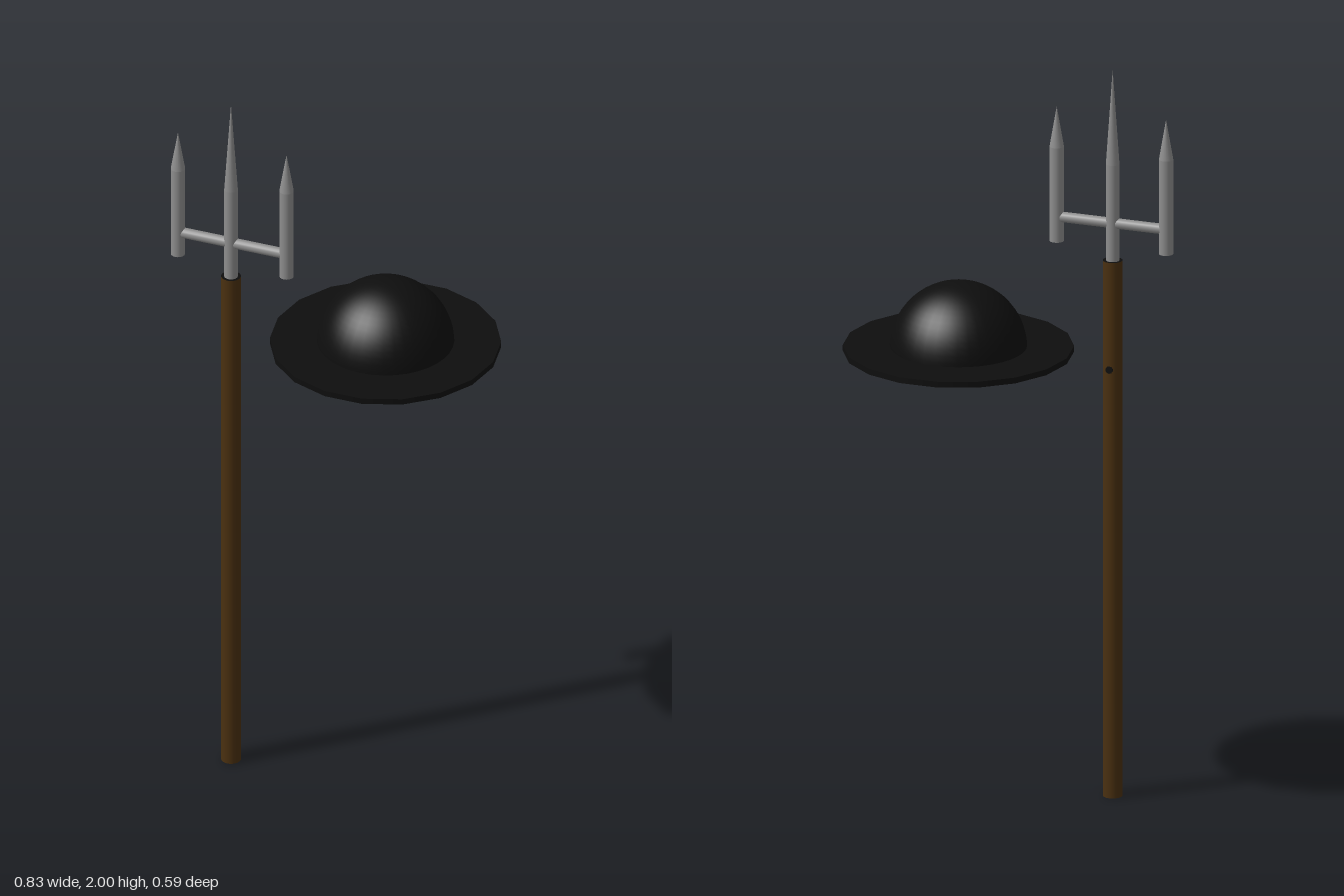
import * as THREE from 'three';

const mat = (name, color) => {
  const m = new THREE.MeshStandardMaterial({ color });
  m.name = name;
  return m;
};

export function createModel() {
  const wood = mat('dark wood', 0x4a3010);
  const steel = mat('steel grey', 0x8e8e8e);
  const black = mat('black', 0x0e0e0e);
  const model = new THREE.Group();

  const add = (parent, name, geometry, material, x, y, z) => {
    const mesh = new THREE.Mesh(geometry, material);
    mesh.name = name;
    mesh.position.set(x, y, z);
    parent.add(mesh);
    return mesh;
  };

  // Trident: wooden pole with black ends
  const trident = new THREE.Group();
  trident.name = 'trident';
  trident.position.set(-0.248, 0, 0.186);
  model.add(trident);
  add(trident, 'pole', new THREE.CylinderGeometry(0.026, 0.026, 1.475, 18), [wood, black, black], 0, 0.7375, 0);

  // Small dark spot on the back of the pole
  const spot = add(trident, 'poleSpot', new THREE.CylinderGeometry(0.01, 0.01, 0.006, 10), black, 0, 1.18, -0.025);
  spot.rotation.x = Math.PI / 2;

  // Prongs: a straight shank with a pointed tip
  const prong = (name, x, r, bottom, shoulder, tip) => {
    const group = new THREE.Group();
    group.name = name;
    trident.add(group);
    add(group, 'shank', new THREE.CylinderGeometry(r, r, shoulder - bottom, 18), steel, x, (bottom + shoulder) / 2, 0);
    add(group, 'tip', new THREE.ConeGeometry(r, tip - shoulder, 18), steel, x, (shoulder + tip) / 2, 0);
  };
  prong('centreProng', 0, 0.018, 1.47, 1.74, 2);
  prong('rightProng', -0.149, 0.019, 1.51, 1.77, 1.88);
  prong('leftProng', 0.156, 0.019, 1.51, 1.77, 1.88);

  const bar = add(trident, 'crossbar', new THREE.CylinderGeometry(0.014, 0.014, 0.3, 18), steel, 0.003, 1.577, 0);
  bar.rotation.z = Math.PI / 2;

  // Hat: flat faceted brim with a half-round crown
  const hat = new THREE.Group();
  hat.name = 'hat';
  hat.position.set(0.112, 1.248, 0);
  model.add(hat);
  const brim = add(hat, 'brim', new THREE.CylinderGeometry(0.302, 0.302, 0.016, 18), black, 0, 0, 0);
  brim.rotation.y = Math.PI / 2;
  add(hat, 'crown', new THREE.SphereGeometry(0.18, 36, 16, 0, Math.PI * 2, 0, Math.PI / 2), black, 0, 0, 0);

  return model;
}
